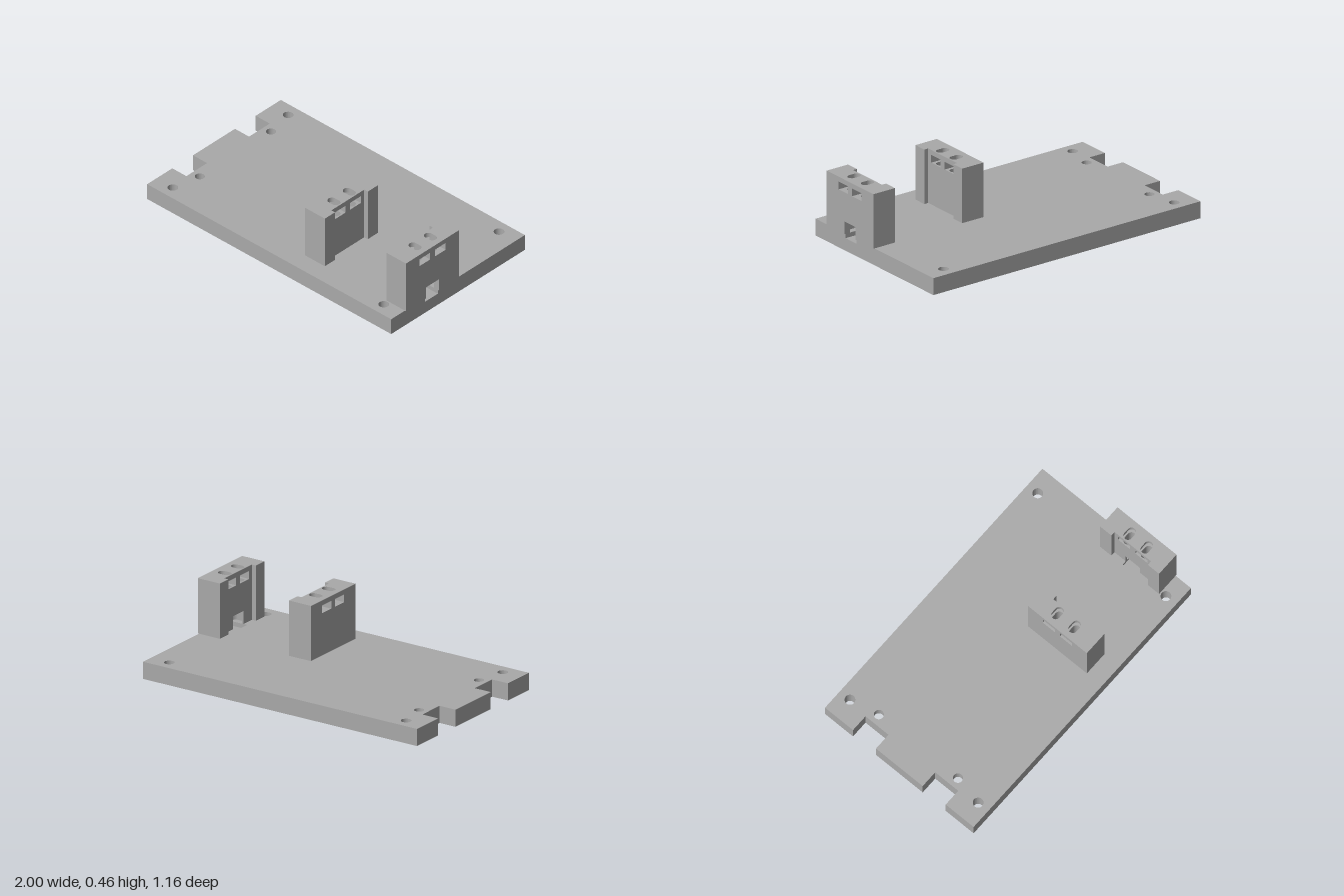
import * as THREE from 'three';

const grey = new THREE.MeshStandardMaterial({ color: 0xa9a9a9 });
grey.name = 'plain grey';

// Heights
const POCKET = 0.081, TOP = 0.109, SLOT_TOP = 0.191, WIN_LOW = 0.378, WIN_HIGH = 0.428, BLOCK_TOP = 0.46;
// Block footprint: half length, depth, depth at the recess, recess half length
const HALF = 0.231, DEPTH = 0.16, INNER = 0.131, RECESS = 0.143;
// Bores, windows and slot, measured from the middle of a block
const OFFSET = 0.067, BORE_X = 0.08, BORE_R = 0.027, BORE_STRAIGHT = 0.016, WIN_HALF = 0.047, SLOT_HALF = 0.055;

const polygon = pts => new THREE.Shape(pts.map(([x, y]) => new THREE.Vector2(x, y)));

// Horizontal slab of a plan shape between two heights (shape y becomes -z)
function slab(name, shape, y0, y1) {
  const geo = new THREE.ExtrudeGeometry(shape, { depth: y1 - y0, bevelEnabled: false, curveSegments: 24 });
  geo.rotateX(-Math.PI / 2).translate(0, y0, 0);
  const mesh = new THREE.Mesh(geo, grey);
  mesh.name = name;
  return mesh;
}

function circle(x, y, r) {
  const path = new THREE.Path();
  path.absarc(x, y, r, 0, Math.PI * 2, true);
  return path;
}

// Base outline with two notches on one end and an optional pocket on the other
function baseShape(smallHoleRadius, pocket) {
  const right = 0.992, w = 0.582, n = -0.885;
  const pts = [[-1, -w], [right, -w]];
  if (pocket) {
    const a = -HALF - SLOT_HALF, b = -HALF + SLOT_HALF;
    pts.push([right, a], [0.842, a], [0.842, b], [right, b]);
  }
  pts.push([right, w], [-1, w]);
  pts.push([-1, 0.363], [n, 0.363], [n, 0.183], [-1, 0.183]);
  pts.push([-1, -0.183], [n, -0.183], [n, -0.363], [-1, -0.363]);
  const shape = polygon(pts);
  for (const s of [-1, 1]) {
    shape.holes.push(circle(-0.865, s * 0.502, 0.032), circle(0.856, s * 0.502, 0.032));
    shape.holes.push(circle(-0.825, s * 0.31, smallHoleRadius));
  }
  return shape;
}

// Full block plan with two oblong bores; dir mirrors it in x
function blockShape(dir) {
  const shape = polygon([[0, -HALF], [DEPTH, -HALF], [DEPTH, -RECESS], [INNER, -RECESS],
    [INNER, RECESS], [DEPTH, RECESS], [DEPTH, HALF], [0, HALF]].map(([x, y]) => [dir * x, y]));
  for (const s of [-1, 1]) {
    const bore = new THREE.Path();
    bore.absarc(dir * BORE_X + BORE_STRAIGHT, s * OFFSET, BORE_R, -Math.PI / 2, Math.PI / 2);
    bore.absarc(dir * BORE_X - BORE_STRAIGHT, s * OFFSET, BORE_R, Math.PI / 2, Math.PI * 1.5);
    bore.closePath();
    shape.holes.push(bore);
  }
  return shape;
}

// One end of the block plan from |z| = start outwards, optionally bitten by the bore
function endShape(dir, side, start, bitten) {
  const pts = [[0, start], [0, HALF], [DEPTH, HALF], [DEPTH, RECESS], [INNER, RECESS], [INNER, start]];
  if (bitten) {
    const a0 = Math.asin((start - OFFSET) / BORE_R), sweep = Math.PI / 2 - a0;
    for (let i = 0; i <= 20; i++) {
      const a = a0 + sweep * i / 10;
      const x = BORE_X + (i <= 10 ? BORE_STRAIGHT : -BORE_STRAIGHT) + BORE_R * Math.cos(a);
      pts.push([x, OFFSET + BORE_R * Math.sin(a)]);
      if (i === 10) pts.push([BORE_X - BORE_STRAIGHT, OFFSET + BORE_R]);
    }
  }
  return polygon(pts.map(([x, y]) => [dir * x, side * y]));
}

function block(name, x, dir, slotted) {
  const g = new THREE.Group();
  g.name = name;
  // Body, with a square slot at the foot of one block
  if (slotted) {
    for (const s of [-1, 1]) g.add(slab('foot', endShape(dir, s, SLOT_HALF, true), TOP, SLOT_TOP));
  }
  g.add(slab('body', blockShape(dir), slotted ? SLOT_TOP : TOP, WIN_LOW));
  // Posts around the two windows
  for (const s of [-1, 1]) g.add(slab('windowEnd', endShape(dir, s, OFFSET + WIN_HALF, false), WIN_LOW, WIN_HIGH));
  const m = OFFSET - WIN_HALF;
  const post = polygon([[0, -m], [dir * INNER, -m], [dir * INNER, m], [0, m]]);
  g.add(slab('windowPost', post, WIN_LOW, WIN_HIGH));
  g.add(slab('cap', blockShape(dir), WIN_HIGH, BLOCK_TOP));
  g.position.set(x, 0, HALF);
  return g;
}

export function createModel() {
  const model = new THREE.Group();
  model.name = 'mountingPlate';

  // Base plate: counterbored underside, plain middle, pocketed top
  const base = new THREE.Group();
  base.name = 'basePlate';
  base.add(slab('underside', baseShape(0.048, false), 0, 0.05));
  base.add(slab('middle', baseShape(0.03, false), 0.05, POCKET));
  base.add(slab('topLayer', baseShape(0.03, true), POCKET, TOP));
  model.add(base);

  // Two facing uprights
  model.add(block('innerBlock', 0.178, 1, false));
  model.add(block('outerBlock', 1, -1, true));
  return model;
}
